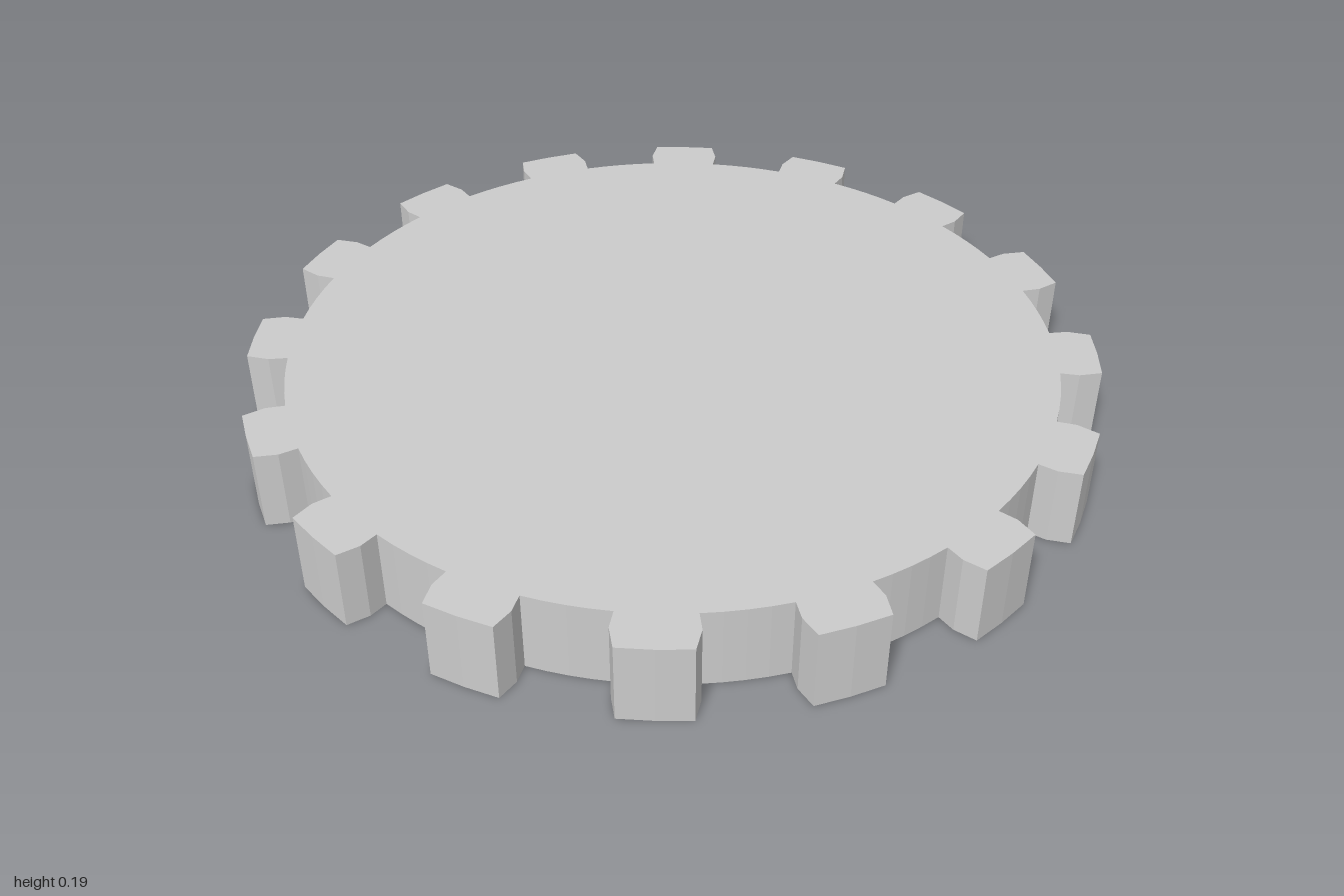
import * as THREE from 'three';

// A flat cog: one outline repeated for each tooth, extruded upward.
export function createModel() {
  const teeth = 16, height = 0.195, step = (Math.PI * 2) / teeth;
  // One tooth and the valley after it: [radius, degrees from the tooth centre]
  const profile = [
    [0.91, -5.25], [0.955, -5.4], [1.007, -4.5], [1.007, 0],
    [1.007, 4.5], [0.955, 5.4], [0.91, 5.25], [0.91, 8.25], [0.91, 11.25], [0.91, 14.25],
  ];
  const points = [];
  for (let i = 0; i < teeth; i++) {
    for (const [r, deg] of profile) {
      const a = (i + 0.5) * step + THREE.MathUtils.degToRad(deg);
      points.push(new THREE.Vector2(r * Math.cos(a), r * Math.sin(a)));
    }
  }

  const geometry = new THREE.ExtrudeGeometry(new THREE.Shape(points), {
    depth: height, bevelEnabled: false,
  });
  geometry.rotateX(-Math.PI / 2); // lay flat, thickness along y

  const gear = new THREE.Mesh(
    geometry,
    new THREE.MeshStandardMaterial({ color: 0xcccccc, flatShading: true })
  );
  gear.name = 'gearDisc';

  const group = new THREE.Group();
  group.name = 'gear';
  group.add(gear);
  return group;
}
